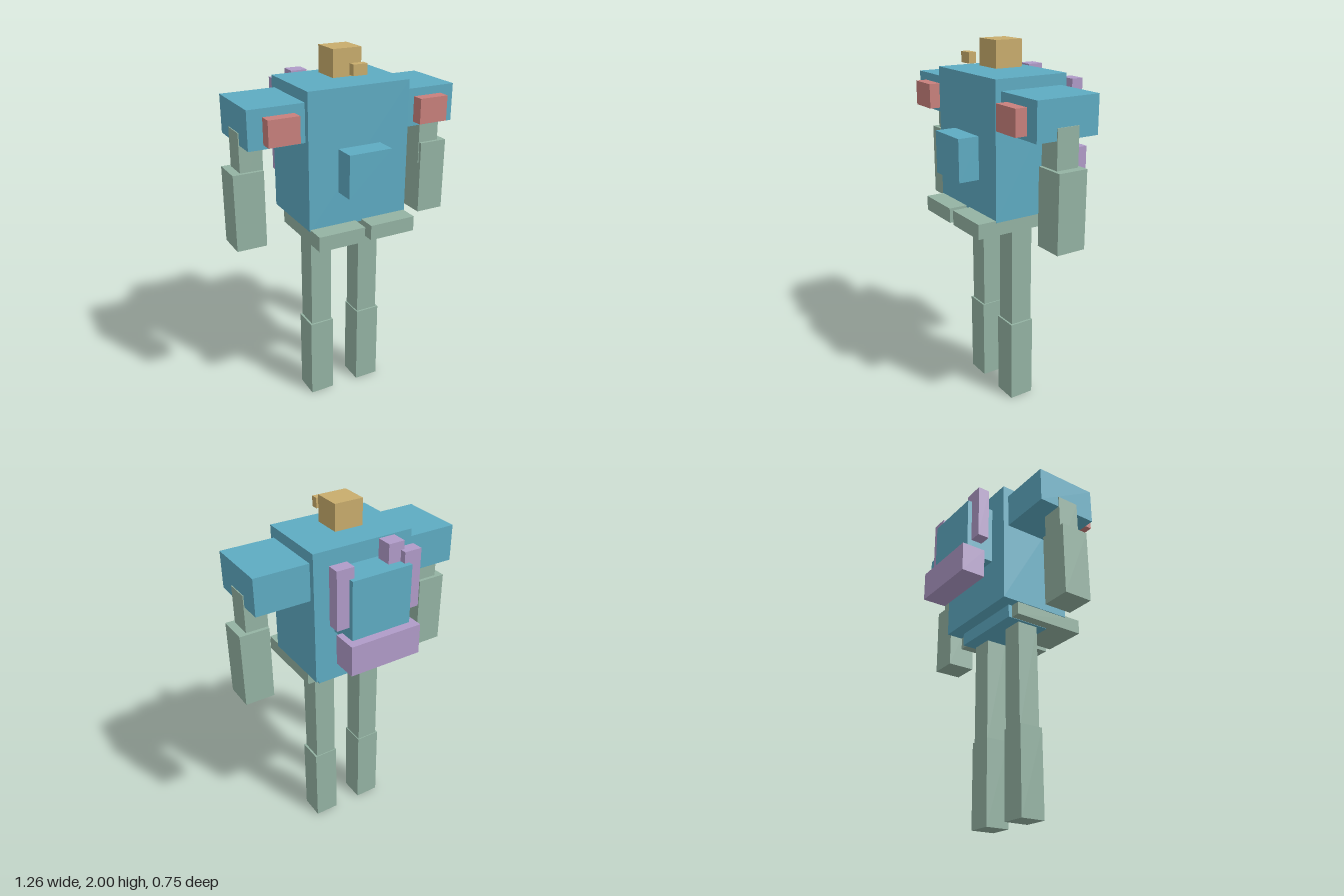
import * as THREE from 'three';

const paint = (name, color) => {
  const m = new THREE.MeshStandardMaterial({ color });
  m.name = name;
  return m;
};

export function createModel() {
  const model = new THREE.Group();
  model.name = 'blockRobot';

  const blue = paint('blue', 0x5eabc2);
  const green = paint('sageGreen', 0x94b3a3);
  const gold = paint('gold', 0xc8ac6c);
  const red = paint('red', 0xc8807c);
  const purple = paint('purple', 0xb09bc8);

  // Box spanning [min, max] on each axis
  const block = (name, material, [x0, x1], [y0, y1], [z0, z1]) => {
    const mesh = new THREE.Mesh(new THREE.BoxGeometry(x1 - x0, y1 - y0, z1 - z0), material);
    mesh.position.set((x0 + x1) / 2, (y0 + y1) / 2, (z0 + z1) / 2);
    mesh.name = name;
    model.add(mesh);
  };

  // The same box on both sides of the body
  const pair = (name, material, [x0, x1], y, z) => {
    block(name + 'Left', material, [x0, x1], y, z);
    block(name + 'Right', material, [-x1, -x0], y, z);
  };

  // Head and the small floating nose
  block('head', gold, [-0.08, 0.08], [1.86, 2.0], [-0.03, 0.125]);
  block('nose', gold, [-0.038, 0.038], [1.89, 1.945], [0.217, 0.257]);

  // Body
  block('torso', blue, [-0.284, 0.284], [1.125, 1.843], [-0.163, 0.258]);
  block('bellyBox', blue, [-0.12, 0.12], [1.312, 1.54], [0.25, 0.374]);
  block('pelvis', blue, [-0.225, 0.225], [1.052, 1.13], [-0.09, 0.17]);
  pair('hipPlate', green, [0.018, 0.28], [1.054, 1.135], [-0.068, 0.36]);

  // Shoulders and arms
  pair('shoulder', blue, [0.28, 0.58], [1.587, 1.785], [-0.131, 0.226]);
  pair('shoulderLamp', red, [0.338, 0.502], [1.61, 1.743], [0.22, 0.29]);
  pair('upperArm', green, [0.463, 0.585], [1.325, 1.648], [-0.014, 0.112]);
  pair('forearm', green, [0.467, 0.629], [1.037, 1.445], [-0.034, 0.13]);

  // Legs
  pair('thigh', green, [0.086, 0.208], [0.45, 1.06], [-0.013, 0.112]);
  pair('shin', green, [0.08, 0.219], [0, 0.472], [-0.018, 0.122]);

  // Backpack with bed roll, side rods and a small top box
  block('backpack', blue, [-0.171, 0.171], [1.397, 1.743], [-0.328, -0.155]);
  block('bedRoll', purple, [-0.205, 0.205], [1.257, 1.424], [-0.376, -0.238]);
  pair('packRod', purple, [0.144, 0.241], [1.487, 1.802], [-0.302, -0.235]);
  block('packTopBox', purple, [-0.163, -0.073], [1.738, 1.847], [-0.268, -0.183]);

  return model;
}
